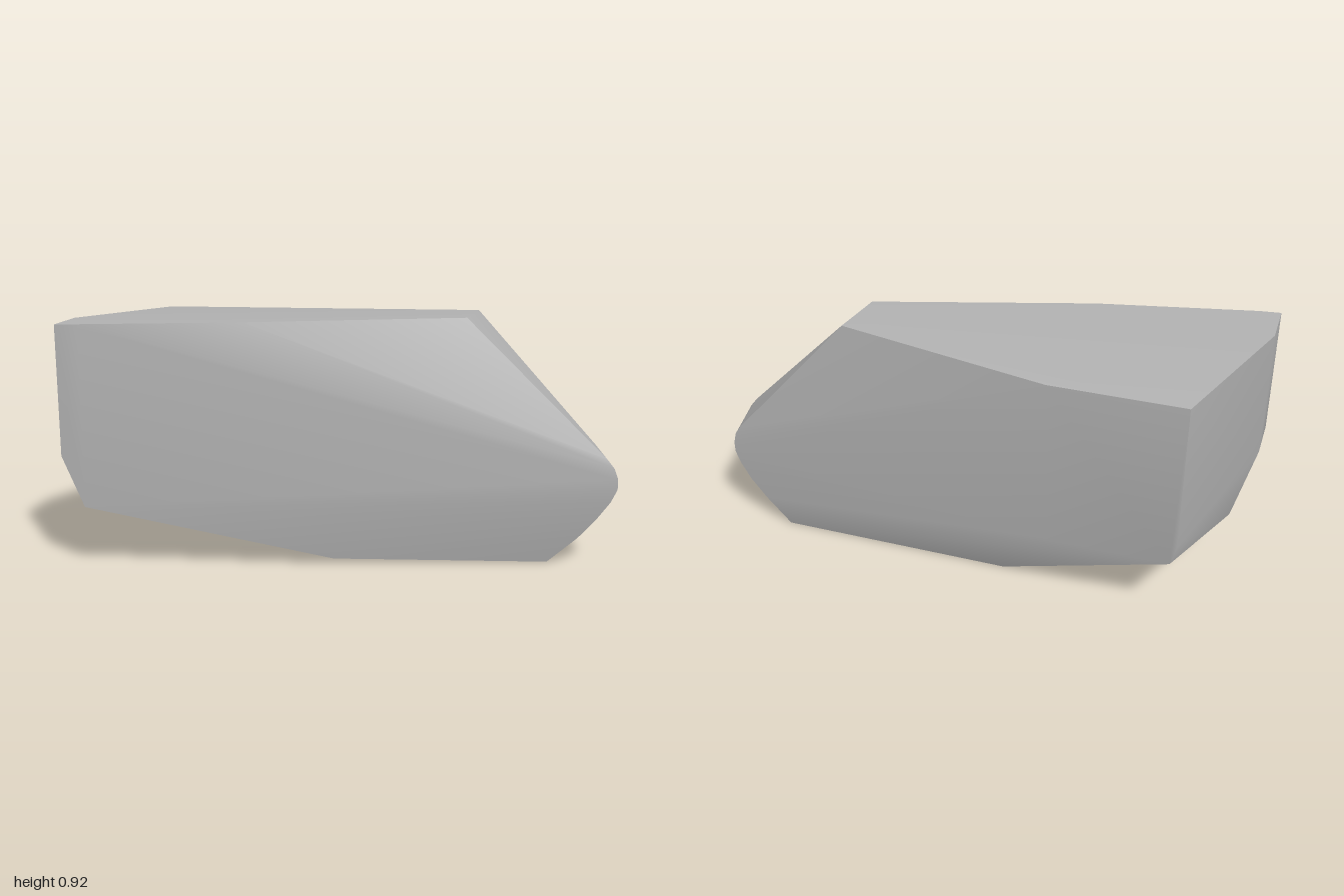
import * as THREE from 'three';
import { ConvexGeometry } from 'three/addons/geometries/ConvexGeometry.js';
import { toCreasedNormals } from 'three/addons/utils/BufferGeometryUtils.js';

const V = (x, y, z) => new THREE.Vector3(x, y, z);

export function createModel() {
  const group = new THREE.Group();
  group.name = 'boulder';
  const stone = new THREE.MeshStandardMaterial({ color: 0xb0b0b0 });
  stone.name = 'stone grey';

  const points = [
    // broad front face
    V(-1, 0.912, 0.365), V(-1, 0.43, 0.365), V(-0.92, 0.24, 0.363),
    V(-0.92, 0.913, 0.353), V(-0.35, 0.916, 0.22), V(-0.035, 0.022, 0.143),
    // blunt left end
    V(-1, 0.91, 0.18), V(-1, 0.43, 0.18), V(-0.935, 0.235, 0.03),
    V(-0.81, 0.885, -0.37), V(-0.81, 0.34, -0.37), V(-0.79, 0.262, -0.37),
    // back face and underside
    V(-0.33, 0.887, -0.37), V(-0.35, 0.26, -0.366), V(-0.15, 0, -0.245),
  ];

  // narrow rounded right end: the same profile at its front and back edge
  const nose = [
    [0.43, 0.918, 0.455], [0.955, 0.41, 0.915], [0.983, 0.375, 0.938], [0.998, 0.335, 0.948],
    [0.998, 0.295, 0.948], [0.975, 0.245, 0.93], [0.925, 0.175, 0.89], [0.86, 0.1, 0.83], [0.75, 0, 0.735],
  ];
  for (const [xf, y, xb] of nose) points.push(V(xf, y, -0.03), V(xb, y, -0.245));

  // smooth within each side, sharp between sides
  const rock = new THREE.Mesh(toCreasedNormals(new ConvexGeometry(points), 0.56), stone);
  rock.name = 'rock';
  group.add(rock);
  return group;
}
